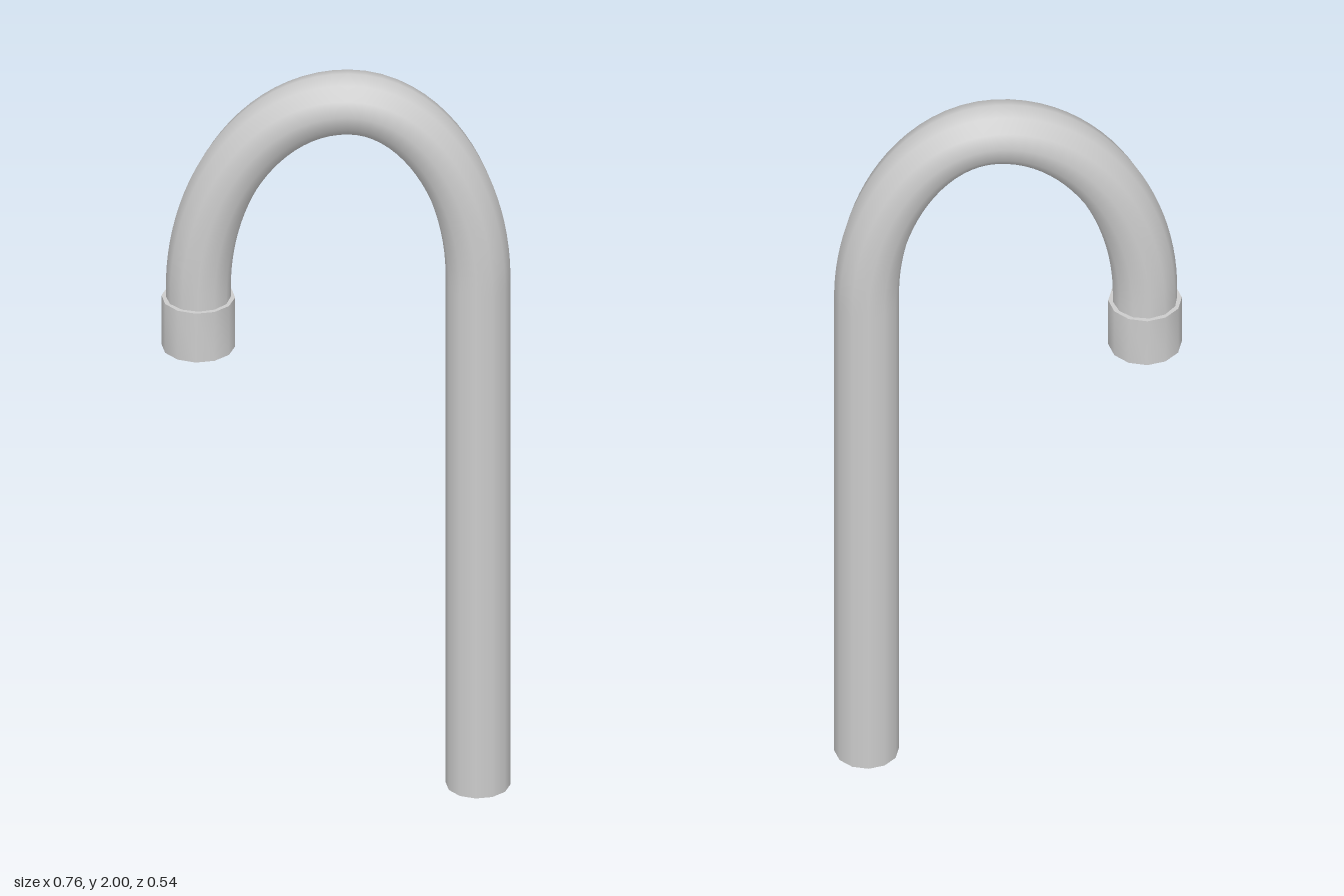
import * as THREE from 'three';
import { toCreasedNormals } from 'three/addons/utils/BufferGeometryUtils.js';

const SIDES = 12;
const POST = new THREE.Vector2(0.299, -0.19); // foot of the tall leg (x, z)
const SPOUT = new THREE.Vector2(-0.292, 0.18); // end of the short leg (x, z)

// Point in the vertical plane of the bend: t = 0 at the short leg, 1 at the tall leg
function at(t, y) {
  const p = SPOUT.clone().lerp(POST, t);
  return new THREE.Vector3(p.x, y, p.y);
}

export function createModel() {
  const model = new THREE.Group();
  const material = new THREE.MeshStandardMaterial({ color: 0xcccccc, side: THREE.DoubleSide });

  // Hollow pipe: straight post, two quarter-ellipse bends, short drop
  const k = 0.5523, top = 1.919, peak = 0.54, right = 1.43, left = 1.39;
  const path = new THREE.CurvePath();
  path.add(new THREE.LineCurve3(at(1, 0), at(1, right)));
  path.add(new THREE.CubicBezierCurve3(
    at(1, right), at(1, right + k * (top - right)),
    at(peak + k * (1 - peak), top), at(peak, top)));
  path.add(new THREE.CubicBezierCurve3(
    at(peak, top), at(peak * (1 - k), top),
    at(0, left + k * (top - left)), at(0, left)));
  path.add(new THREE.LineCurve3(at(0, left), at(0, 1.35)));
  const pipe = new THREE.Mesh(new THREE.TubeGeometry(path, 90, 0.081, SIDES, false), material);
  pipe.name = 'bentPipe';
  model.add(pipe);

  // Open collar around the short end
  const profile = [[0.081, 1.36], [0.081, 1.225], [0.092, 1.225], [0.092, 1.363], [0.08, 1.363]]
    .map(([r, y]) => new THREE.Vector2(r, y));
  const collarGeometry = toCreasedNormals(new THREE.LatheGeometry(profile, SIDES), 0.7);
  const collar = new THREE.Mesh(collarGeometry, material);
  collar.position.set(SPOUT.x, 0, SPOUT.y);
  collar.name = 'endCollar';
  model.add(collar);

  return model;
}
